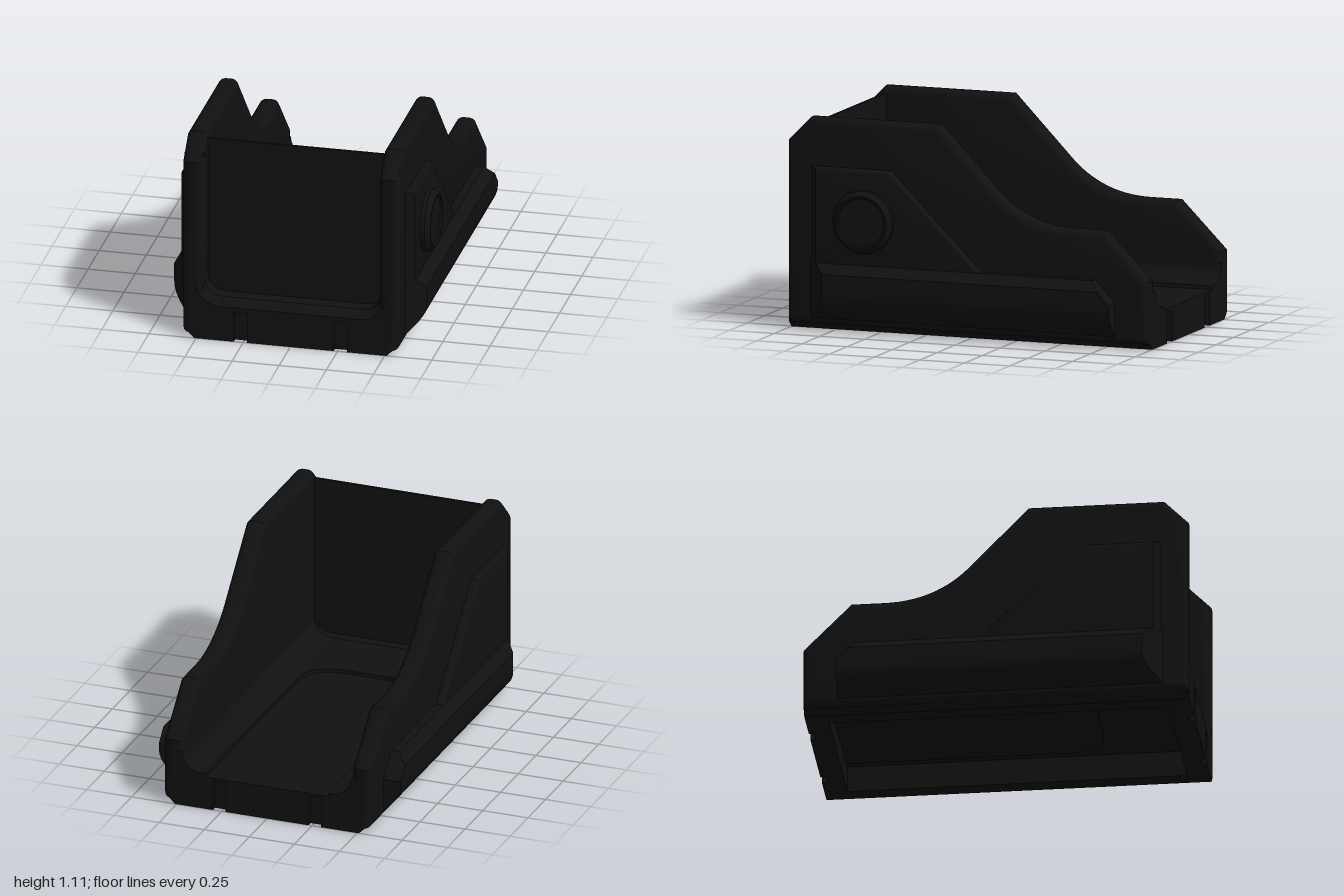
import * as THREE from 'three';
import { toCreasedNormals } from 'three/addons/utils/BufferGeometryUtils.js';

const material = new THREE.MeshStandardMaterial({ color: 0x111111 });

const poly = (pts) => new THREE.Shape(pts.map(([x, y]) => new THREE.Vector2(x, y)));
const flip = (pts) => pts.map(([x, y]) => [-x, y]);
const symmetric = (half) => poly([...half, ...flip(half).reverse()]);

// Extrude a shape between two depths, keeping the bevel inside the outline.
function slab(shape, from, to, bevel = 0) {
  const geo = new THREE.ExtrudeGeometry(shape, {
    depth: to - from - 2 * bevel, curveSegments: 14,
    bevelEnabled: bevel > 0, bevelThickness: bevel, bevelSize: bevel, bevelOffset: -bevel, bevelSegments: 4,
  });
  return geo.translate(0, 0, from + bevel);
}
// Shape drawn in (z, y), extruded across x, centred on x.
const slabX = (shape, x, width, bevel) =>
  slab(shape, -width / 2, width / 2, bevel).rotateY(-Math.PI / 2).translate(x, 0, 0);
// Shape drawn in (x, z), extruded from y0 up to y1.
const slabY = (shape, y0, y1) => slab(shape, 0, y1 - y0).rotateX(Math.PI / 2).translate(0, y1, 0);

// Move the z of every vertex by a rule of |x|, y and z.
function moveZ(geo, rule) {
  const p = geo.attributes.position;
  for (let i = 0; i < p.count; i++) p.setZ(i, rule(Math.abs(p.getX(i)), p.getY(i), p.getZ(i)));
  geo.computeVertexNormals();
  return geo;
}
// Sloped front end shared by the skirts and raised panels.
const mitre = (x) => 0.87 - Math.max(0, x - 0.575) * 1.05;

// Quarter round between floor and wall.
const fillet = [];
for (let i = 0; i <= 6; i++) {
  const a = (i / 6) * Math.PI / 2;
  fillet.push([0.37 + 0.1 * Math.cos(a), 0.3 - 0.1 * Math.sin(a)]);
}

export function createModel() {
  const group = new THREE.Group();
  const add = (name, geo) => {
    const mesh = new THREE.Mesh(toCreasedNormals(geo, 0.55), material);
    mesh.name = name;
    group.add(mesh);
    return mesh;
  };

  // Side wall outline: tall at the front, sweeping down to the back
  const wall = poly([[1, 0.03], [1, 0.985], [0.875, 1.11], [0.17, 1.11], [-0.15, 0.78]]);
  wall.quadraticCurveTo(-0.32, 0.61, -0.58, 0.61);
  wall.lineTo(-0.75, 0.61);
  wall.lineTo(-1, 0.36);
  wall.lineTo(-1, 0.03);

  const panel = poly([[0.9, 0.3], [0.9, 0.86], [0.42, 0.86], [-0.14, 0.3]]);

  const rail = [[0.42, 0], [0.51, 0], [0.575, 0.065], [0.575, 0.3], ...fillet, [0.37, 0.14], [0.42, 0.14]];

  // The skirt is split where its back end starts to slope
  const skirtLower = [[0.575, 0.065], [0.635, 0.125], [0.655, 0.152], [0.666, 0.18], [0.67, 0.21],
    [0.67, 0.24], [0.575, 0.24]];
  const skirtUpper = [[0.575, 0.24], [0.67, 0.24], [0.67, 0.31], [0.62, 0.36], [0.575, 0.36]];

  for (const s of [1, -1]) {
    const side = s > 0 ? 'left' : 'right';
    const place = (pts) => poly(s > 0 ? pts : flip(pts));
    add(side + 'Wall', slabX(wall, s * 0.5215, 0.109, 0.038));
    add(side + 'RaisedPanel', moveZ(slabX(panel, s * 0.58, 0.08, 0.022), (x, y, z) => Math.min(z, mitre(x))));
    add(side + 'BottomRail', slab(place(rail), -0.96, 0.96));
    add(side + 'SkirtLower', moveZ(slab(place(skirtLower), -0.82, 0.87), (x, y, z) => (z > 0 ? mitre(x) : z)));
    add(side + 'SkirtUpper', moveZ(slab(place(skirtUpper), -0.82, 0.87),
      (x, y, z) => (z > 0 ? mitre(x) : z + (y - 0.24) * 0.92)));
  }

  // Floor with a shallow round-ended tray, and its step on the underside
  add('floor', new THREE.BoxGeometry(0.84, 0.04, 1.9).translate(0, 0.16, 0));
  const surround = poly([[-0.38, -0.96], [-0.38, 0.9], [0.38, 0.9], [0.38, -0.96], [0.34, -0.96], [0.34, 0.28]]);
  surround.quadraticCurveTo(0.34, 0.48, 0.14, 0.48);
  surround.lineTo(-0.14, 0.48);
  surround.quadraticCurveTo(-0.34, 0.48, -0.34, 0.28);
  surround.lineTo(-0.34, -0.96);
  add('floorSurround', slabY(surround, 0.17, 0.2));
  const tray = poly([[-0.34, -0.9], [0.34, -0.9], [0.34, 0.28]]);
  tray.quadraticCurveTo(0.34, 0.48, 0.14, 0.48);
  tray.lineTo(-0.14, 0.48);
  tray.quadraticCurveTo(-0.34, 0.48, -0.34, 0.28);
  add('trayUnderside', slabY(tray, 0.12, 0.15));

  // Cross rails closing the bottom frame, each faced by a notched end plate
  const crossRail = symmetric([[0.43, 0], [0.43, 0.18]]);
  add('frontCrossRail', slab(crossRail, 0.88, 0.97));
  add('backCrossRail', slab(crossRail, -0.97, -0.88));
  const notched = [[0.23, 0], [0.23, 0.165], [0.3, 0.165], [0.3, 0], [0.51, 0], [0.537, 0.027]];
  add('frontEndPlate', slab(symmetric([...notched, [0.537, 0.187]]), 0.96, 1));
  add('backEndPlate', slab(symmetric([...notched, [0.537, 0.3], ...fillet, [0.34, 0.2], [0.34, 0.18]]), -1, -0.96));

  // Thin front panel set deep behind a sloped U-shaped frame
  add('frontPanel', new THREE.BoxGeometry(0.96, 0.975, 0.015).translate(0, 0.5875, 0.868));
  const frame = poly([[-0.535, 0.185], [0.535, 0.185], [0.535, 0.98], [0.505, 0.98], [0.505, 0.34]]);
  frame.quadraticCurveTo(0.505, 0.19, 0.355, 0.19);
  frame.lineTo(-0.355, 0.19);
  frame.quadraticCurveTo(-0.505, 0.19, -0.505, 0.34);
  frame.lineTo(-0.505, 0.98);
  frame.lineTo(-0.535, 0.98);
  add('frontFrame', new THREE.ExtrudeGeometry(frame, {
    depth: 0.075, curveSegments: 10, bevelThickness: 0.05, bevelSize: 0.037, bevelSegments: 1,
  }).translate(0, 0, 0.875));

  // Round knob on the left side
  const knobProfile = [[0.165, 0], [0.165, 0.042], [0.142, 0.068], [0.132, 0.068], [0.126, 0.058], [0, 0.058]];
  const knob = new THREE.LatheGeometry(knobProfile.map(([r, h]) => new THREE.Vector2(r, h)), 40);
  add('knob', knob.rotateZ(-Math.PI / 2)).position.set(0.602, 0.59, 0.555);

  return group;
}
